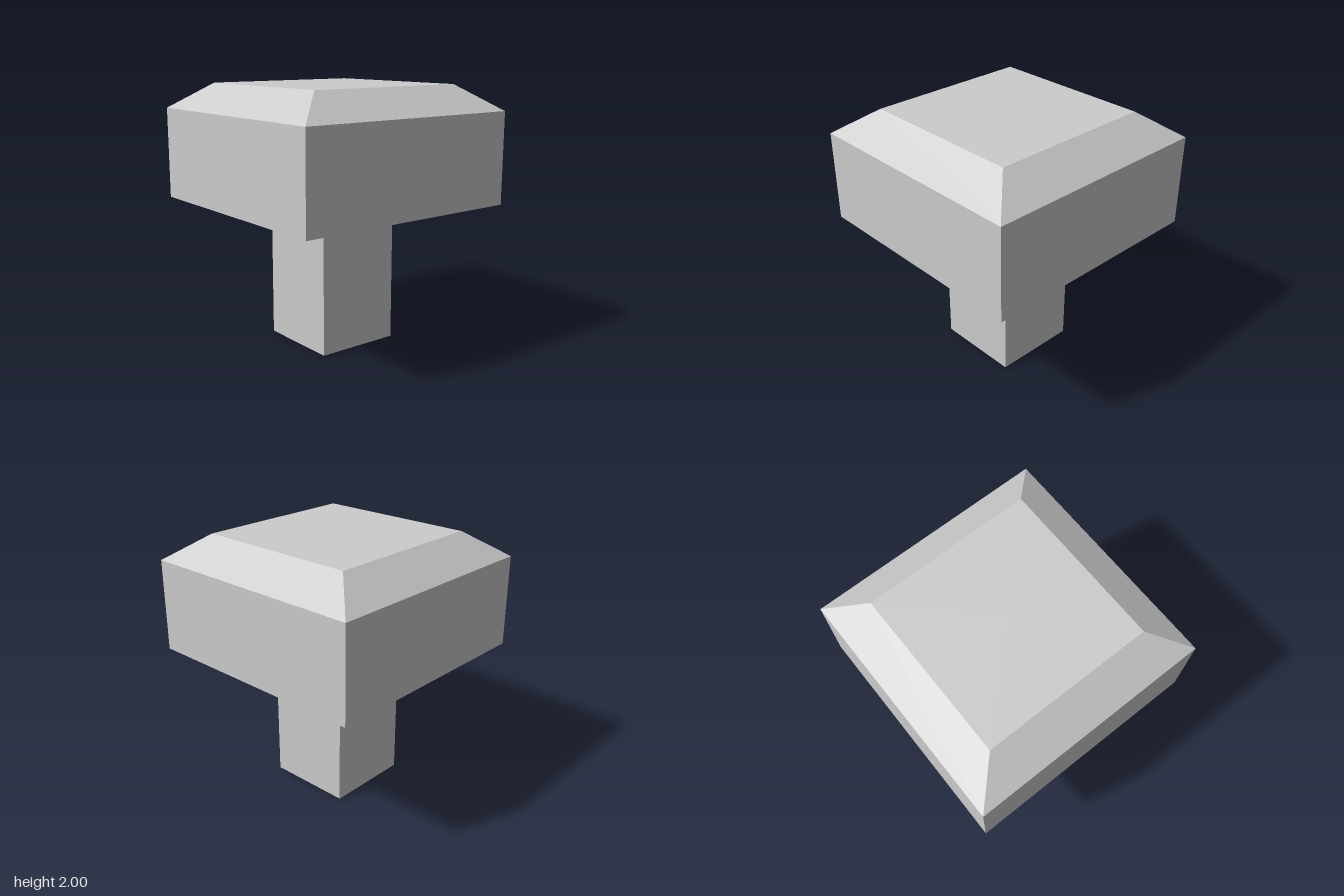
import * as THREE from 'three';

const STEM = 0.336;     // half width of the stem
const HEAD = 0.917;     // half width of the head
const TOP = 0.645;      // half width of the flat top
const RECESS_Y = 1.3;   // where the hollow underside meets the stem

// Square solid from a profile of [half width, height] pairs, bottom to top
function squareLathe(name, profile, material) {
  const points = profile.map(([w, y]) => new THREE.Vector2(w * Math.SQRT2, y));
  const geometry = new THREE.LatheGeometry(points, 4, Math.PI / 4).toNonIndexed();
  geometry.computeVertexNormals();
  const mesh = new THREE.Mesh(geometry, material);
  mesh.name = name;
  return mesh;
}

export function createModel() {
  const model = new THREE.Group();
  model.name = 'squareKnob';

  const grey = new THREE.MeshStandardMaterial({ color: 0xcccccc });
  grey.name = 'light grey';

  // Square stem, closed at the bottom
  model.add(squareLathe('stem', [[0, 0], [STEM, 0], [STEM, RECESS_Y]], grey));

  // Head: sloping recessed underside, straight sides, bevelled flat top
  model.add(squareLathe('head', [
    [STEM, RECESS_Y], [HEAD, 1.095], [HEAD, 1.804], [TOP, 2], [0, 2],
  ], grey));

  return model;
}
